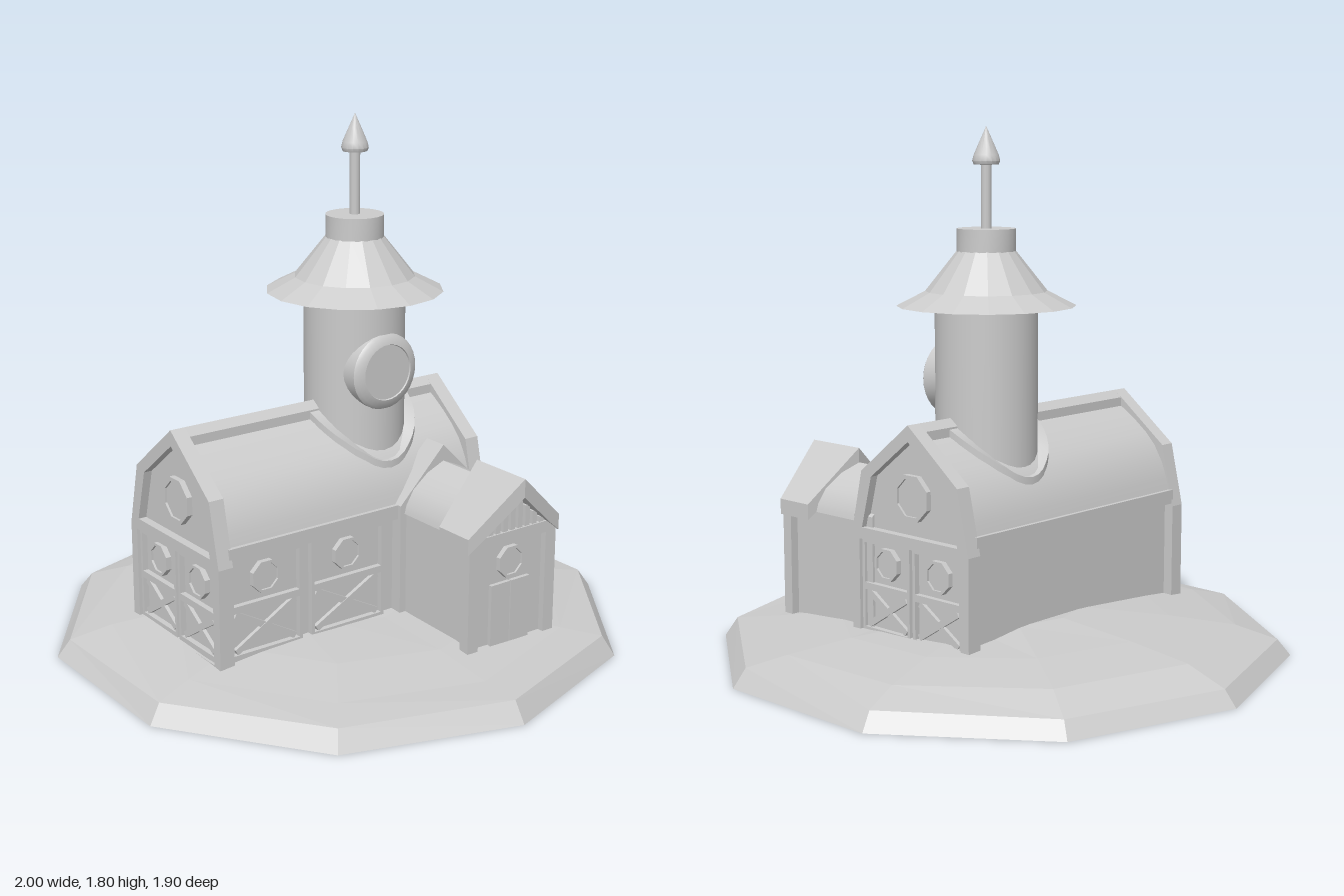
import * as THREE from 'three';
import { toCreasedNormals } from 'three/addons/utils/BufferGeometryUtils.js';

const smooth = new THREE.MeshStandardMaterial({ color: 0xcccccc });
const flat = new THREE.MeshStandardMaterial({ color: 0xcccccc, flatShading: true });
const shell = new THREE.MeshStandardMaterial({ color: 0xcccccc, flatShading: true, side: THREE.DoubleSide });

function add(parent, name, geo, x = 0, y = 0, z = 0, mat = flat) {
  const m = new THREE.Mesh(geo, mat);
  m.name = name;
  m.position.set(x, y, z);
  parent.add(m);
  return m;
}
const box = (p, name, w, h, d, x, y, z) => add(p, name, new THREE.BoxGeometry(w, h, d), x, y, z);
const group = (p, name) => {
  const g = new THREE.Group();
  g.name = name;
  p.add(g);
  return g;
};
const vec = (pts) => pts.map(([x, y]) => new THREE.Vector2(x, y));
// Half outline (bottom to top, x >= 0) mirrored into a closed list of points
const mirror = (half) => [...half, ...half.slice().reverse().filter((p) => p[0] > 0).map(([x, y]) => [-x, y])];
const rect = (x0, y0, x1, y1) => [[x0, y0], [x1, y0], [x1, y1], [x0, y1]];
const polygon = (r, n) => Array.from({ length: n }, (_, i) => {
  const a = ((i + 0.5) / n) * Math.PI * 2;
  return [r * Math.cos(a), r * Math.sin(a)];
});
function extrude(pts, depth, holes = []) {
  const s = new THREE.Shape(vec(pts));
  for (const h of holes) s.holes.push(new THREE.Path(vec(h)));
  return new THREE.ExtrudeGeometry(s, { depth, bevelEnabled: false });
}
const lathe = (pts, n, start = 0) => new THREE.LatheGeometry(vec(pts), n, start);

// Octagonal window facing +z
function octagonWindow(p, r, x, y, z) {
  add(p, 'windowFrame', extrude(polygon(r, 8), 0.02, [polygon(r * 0.82, 8)]), x, y, z);
  add(p, 'windowPane', extrude(polygon(r * 0.84, 8), 0.012), x, y, z);
}

// Panel facing +z: window above, crossed planks below
function barnPanel(p, w, y0, ySplit, y1, x, z) {
  const g = group(p, 'barnPanel');
  g.position.set(x, 0, z);
  const b = 0.012;
  add(g, 'panelFrame', extrude(rect(-w / 2, y0 - 0.025, w / 2, y1), 0.02, [
    rect(-w / 2 + b, ySplit + b, w / 2 - b, y1 - b),
    rect(-w / 2 + b, y0, w / 2 - b, ySplit - b),
  ]));
  const iw = w - 2 * b, ih = ySplit - b - y0;
  for (const s of [-1, 1]) {
    const plank = box(g, 'crossPlank', Math.hypot(iw, ih) - 0.03, 0.022, 0.014, 0, y0 + ih / 2, 0.007 + s * 0.001);
    plank.rotation.z = s * Math.atan2(ih, iw);
  }
  octagonWindow(g, 0.058, 0, (ySplit + y1) / 2 + 0.005, 0);
}

// Curved barn roof, half profile from ridge to eave
const ROOF = [[0, 0.8], [0.05, 0.772], [0.1, 0.738], [0.15, 0.698], [0.19, 0.655], [0.225, 0.595], [0.245, 0.54], [0.26, 0.48]];
function roofY(x) {
  x = Math.abs(x);
  for (let i = 1; i < ROOF.length; i++) {
    const [x0, y0] = ROOF[i - 1], [x1, y1] = ROOF[i];
    if (x <= x1) return y0 + ((y1 - y0) * (x - x0)) / (x1 - x0);
  }
  return 0.48;
}

function buildBarn(root) {
  const barn = group(root, 'barn');
  const body = extrude(mirror([[0.24, 0.1], [0.24, 0.48], ...ROOF.slice().reverse()]), 1.06);
  add(barn, 'barnBody', toCreasedNormals(body, 0.5), 0, 0, -0.425, smooth);
  add(barn, 'ridgeBeam', extrude(mirror([[0.03, 0.77], [0.03, 0.815], [0, 0.84]]), 1.04), 0, 0, -0.415);
  for (const s of [-1, 1]) box(barn, 'eaveBeam', 0.035, 0.05, 1.03, s * 0.252, 0.475, 0.105);

  // Matching gable ends
  for (const [z, turn] of [[0.61, 0], [-0.4, Math.PI]]) {
    const end = group(barn, 'gableEnd');
    end.position.z = z;
    end.rotation.y = turn;
    const outline = mirror([[0.275, 0.09], [0.275, 0.44], [0.225, 0.66], [0, 0.84]]);
    const loft = mirror([[0.225, 0.465], [0.178, 0.645], [0, 0.785]]);
    add(end, 'gableFrame', extrude(outline, 0.055, [loft, rect(-0.238, 0.1, 0.238, 0.425)]));
    octagonWindow(end, 0.082, 0, 0.595, 0.025);
    for (const s of [-1, 1]) barnPanel(end, 0.228, 0.12, 0.262, 0.425, s * 0.121, 0.025);
  }

  // Panelled side wall
  const side = group(barn, 'sideWall');
  side.rotation.y = Math.PI / 2;
  for (const [z, w] of [[0.47, 0.285], [0.138, 0.305]]) barnPanel(side, w, 0.12, 0.28, 0.45, -z, 0.24);
}

function buildShed(root) {
  const shed = group(root, 'sideShed');
  shed.rotation.y = Math.PI / 2;
  shed.position.z = -0.25;
  const roof = [[0.168, 0.47], [0.16, 0.5], [0.13, 0.55], [0.07, 0.598], [0, 0.628]];
  const body = extrude(mirror([[0.16, 0.085], [0.16, 0.47], ...roof]), 0.45);
  add(shed, 'shedBody', toCreasedNormals(body, 0.6), 0, 0, 0.18, smooth);
  add(shed, 'joiningArch', extrude(mirror([[0.185, 0.09], [0.185, 0.5], [0, 0.685]]), 0.09), 0, 0, 0.195);

  // Canopy whose ridge reaches further out than its eaves
  const canopy = extrude([[0, 0.68], [-0.2, 0.5], [-0.2, 0.445], [-0.15, 0.485], [0, 0.615], [0.15, 0.485], [0.2, 0.445], [0.2, 0.5]], 1);
  const p = canopy.attributes.position;
  for (let i = 0; i < p.count; i++) {
    const t = Math.abs(p.getX(i)) / 0.2;
    p.setZ(i, p.getZ(i) > 0.5 ? 0.7 - 0.045 * t : 0.46 + 0.048 * t);
  }
  add(shed, 'canopyRoof', canopy);

  // Front wall
  for (const s of [-1, 1]) box(shed, 'cornerPost', 0.045, 0.375, 0.04, s * 0.168, 0.2725, 0.632);
  box(shed, 'crossBeam', 0.37, 0.04, 0.04, 0, 0.468, 0.633);
  for (let i = -4; i <= 4; i++) {
    const top = 0.615 - Math.abs(i) * 0.027;
    box(shed, 'gableSlat', 0.02, top - 0.48, 0.025, i * 0.032, (top + 0.48) / 2, 0.635);
  }
  octagonWindow(shed, 0.058, 0, 0.375, 0.628);
  for (const s of [-1, 1]) box(shed, 'doorLeaf', 0.082, 0.22, 0.02, s * 0.043, 0.195, 0.634);
}

function buildTower(root) {
  const tower = group(root, 'tower');
  tower.position.z = -0.08;
  add(tower, 'towerShaft', new THREE.CylinderGeometry(0.175, 0.175, 0.62, 32), 0, 0.905, 0, smooth);

  // Collar following the barn roof: four-sided section swept around the shaft
  const section = [[0.17, -0.04], [0.212, -0.04], [0.212, 0.025], [0.17, 0.03]];
  const n = 40, pos = [], idx = [];
  for (let i = 0; i < n; i++) {
    const a = (i / n) * Math.PI * 2;
    for (const [r, dy] of section) {
      pos.push(r * Math.sin(a), roofY(0.212 * Math.sin(a)) + dy, r * Math.cos(a));
    }
    for (let k = 0; k < 4; k++) {
      const j = (i + 1) % n, l = (k + 1) % 4;
      const A = i * 4 + k, B = j * 4 + k, C = j * 4 + l, D = i * 4 + l;
      idx.push(A, B, C, A, C, D);
    }
  }
  const collar = new THREE.BufferGeometry();
  collar.setAttribute('position', new THREE.Float32BufferAttribute(pos, 3));
  collar.setIndex(idx);
  add(tower, 'roofCollar', toCreasedNormals(collar, 0.6), 0, 0, 0, smooth);

  // Flared roof, cap and finial
  add(tower, 'flaredRoof', lathe([[0, 1.215], [0.305, 1.205], [0.207, 1.255], [0.1, 1.39], [0, 1.39]], 16));
  add(tower, 'roofCap', toCreasedNormals(new THREE.CylinderGeometry(0.1, 0.1, 0.08, 24), 0.6), 0, 1.425, 0, smooth);
  add(tower, 'finialPole', new THREE.CylinderGeometry(0.018, 0.018, 0.25, 12), 0, 1.575, 0, smooth);
  const tip = lathe([[0, 1.675], [0.042, 1.678], [0.047, 1.69], [0.042, 1.71], [0.02, 1.76], [0, 1.805]], 16);
  add(tower, 'finialTip', toCreasedNormals(tip, 0.7), 0, 0, 0, smooth);

  // Round window with a bevelled rim on the outer side
  const ring = lathe([[0, 0], [0.132, 0], [0.132, 0.072], [0.122, 0.083], [0.097, 0.09], [0.095, 0.085], [0, 0.085]], 32);
  const port = add(tower, 'roundWindow', toCreasedNormals(ring, 0.6), 0.1, 0.95, 0, smooth);
  port.rotation.z = -Math.PI / 2;
}

function buildGround(root) {
  // Open ten-sided shell; each ring is [radius, height, sideways tilt]
  const rings = [[1, 0, 0], [0.955, 0.061, -0.008], [0.81, 0.09, 0.018], [0.58, 0.115, 0.026], [0.28, 0.13, 0.08], [0, 0.13, 0]];
  const geo = lathe(rings, 10, Math.PI / 2);
  const p = geo.attributes.position;
  for (let i = 0; i < p.count; i++) {
    p.setY(i, p.getY(i) - rings[i % rings.length][2] * p.getX(i));
  }
  add(root, 'groundMound', geo, 0, 0, 0, shell);
}

export function createModel() {
  const root = new THREE.Group();
  root.name = 'barnWithTower';
  buildGround(root);
  buildBarn(root);
  buildShed(root);
  buildTower(root);
  return root;
}
